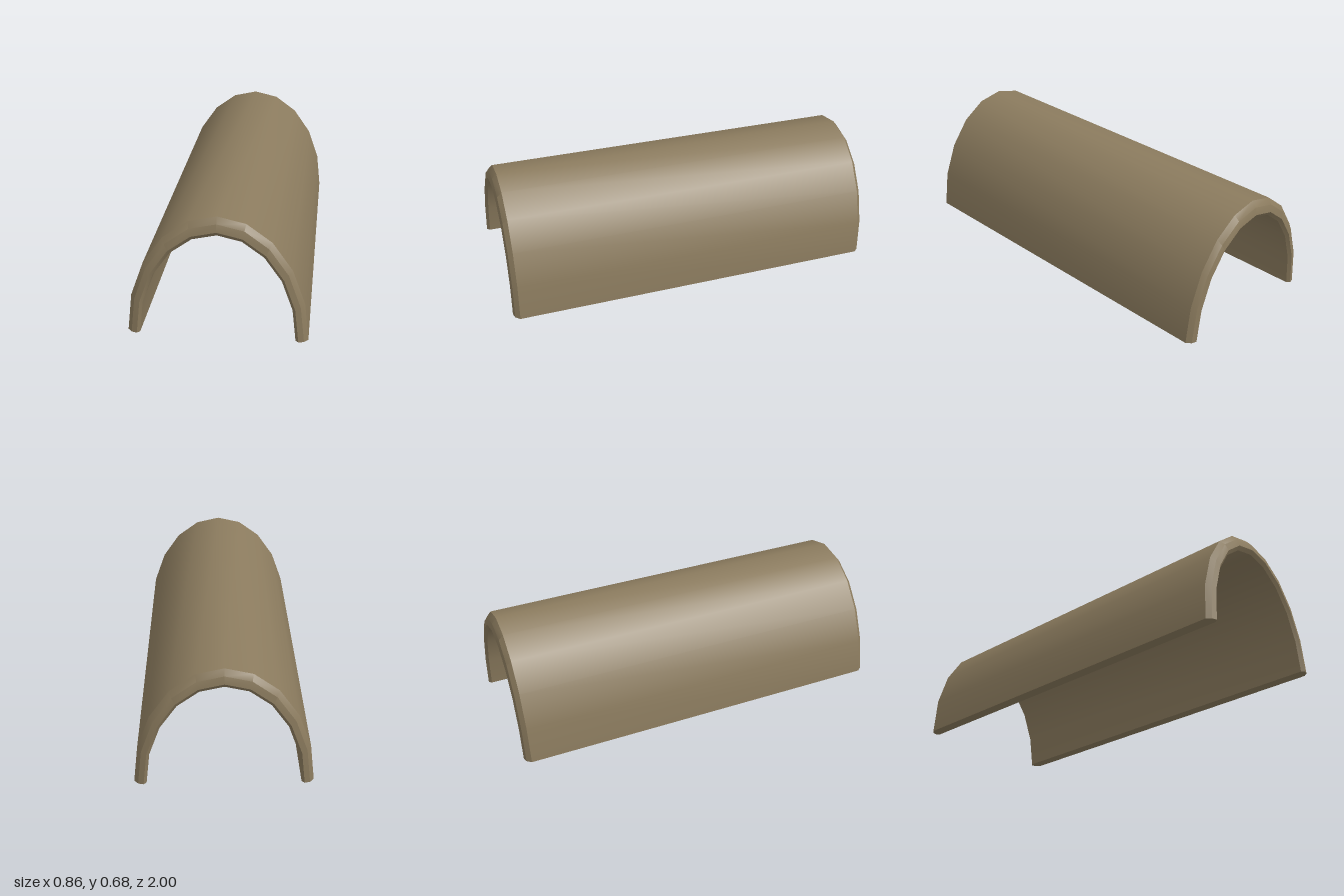
import * as THREE from 'three';
import { toCreasedNormals } from 'three/addons/utils/BufferGeometryUtils.js';

const HALF_LENGTH = 0.991;
const SEGMENTS = 10;
const TILT = THREE.MathUtils.degToRad(2);

// End profile: [depth through the wall (0 outer, 1 inner), set-back from the end]
const END = [[0, 0.03], [0.33, 0.007], [0.77, 0], [1, 0.015]];

function archGeometry() {
  // Closed lengthwise section of the wall: down the front end, up the back end
  const loop = [
    ...END.map(([t, d]) => [t, HALF_LENGTH - d]),
    ...END.map(([t, d]) => [t, d - HALF_LENGTH]).reverse(),
  ];
  const n = loop.length;
  const positions = [];
  const index = [];

  // Sweep the section over a half ellipse
  for (let i = 0; i <= SEGMENTS; i++) {
    const a = (i / SEGMENTS - 0.5) * Math.PI;
    for (const [t, z] of loop) {
      const rx = THREE.MathUtils.lerp(0.43, 0.37, t);
      const ry = THREE.MathUtils.lerp(0.615, 0.528, t);
      positions.push(rx * Math.sin(a), ry * Math.cos(a), z);
    }
  }
  for (let i = 0; i < SEGMENTS; i++) {
    for (let j = 0; j < n; j++) {
      const k = (j + 1) % n;
      const a = i * n + j, b = i * n + k, c = a + n, d = b + n;
      index.push(a, b, c, b, d, c);
    }
  }

  // Flat undersides of the two long edges
  const last = SEGMENTS * n;
  for (let j = 1; j < n - 1; j++) {
    index.push(0, j + 1, j);
    index.push(last, last + j, last + j + 1);
  }

  const geometry = new THREE.BufferGeometry();
  geometry.setAttribute('position', new THREE.Float32BufferAttribute(positions, 3));
  geometry.setIndex(index);
  return toCreasedNormals(geometry, THREE.MathUtils.degToRad(30));
}

export function createModel() {
  const group = new THREE.Group();
  group.name = 'roofTile';

  // Arched tile, its front end raised slightly
  const material = new THREE.MeshStandardMaterial({ color: 0x8b7b5e });
  const tile = new THREE.Mesh(archGeometry(), material);
  tile.name = 'archedTile';
  tile.rotation.x = -TILT;
  tile.position.set(0, HALF_LENGTH * Math.sin(TILT), 0.0095);
  group.add(tile);

  return group;
}
